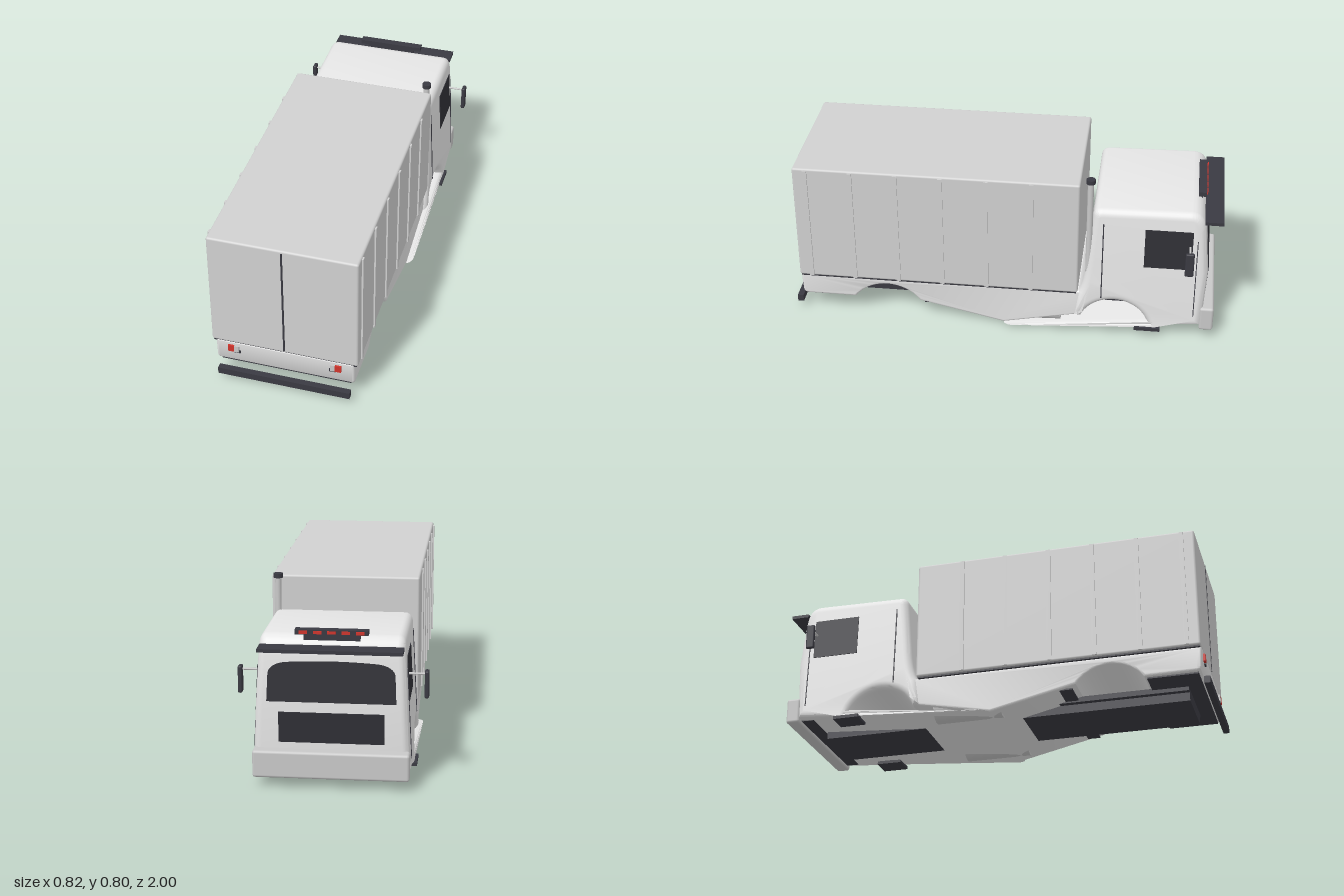
import * as THREE from 'three';
import { toCreasedNormals } from 'three/addons/utils/BufferGeometryUtils.js';
import { RoundedBoxGeometry } from 'three/addons/geometries/RoundedBoxGeometry.js';

const material = (name, color) => Object.assign(new THREE.MeshStandardMaterial({ color }), { name });

export function createModel() {
  const truck = new THREE.Group();
  truck.name = 'boxTruck';
  const paint = material('cabWhite', 0xe6e6e6);
  const boxPaint = material('cargoGrey', 0xd0d0d0);
  const metal = material('metalGrey', 0xc8c8c8);
  const dark = material('darkTrim', 0x3a3a42);
  const glass = material('darkGlass', 0x303036);
  const red = material('redLamp', 0xd0342c);

  const add = (name, geometry, mat, x = 0, y = 0, z = 0) => {
    const mesh = new THREE.Mesh(geometry, mat);
    mesh.name = name;
    mesh.position.set(x, y, z);
    truck.add(mesh);
    return mesh;
  };
  // Box given by its limits on each axis
  const block = (name, mat, [x0, x1], [y0, y1], [z0, z1], radius = 0) => {
    const size = [Math.abs(x1 - x0), y1 - y0, z1 - z0];
    const geometry = radius ? new RoundedBoxGeometry(...size, 3, radius) : new THREE.BoxGeometry(...size);
    return add(name, geometry, mat, (x0 + x1) / 2, (y0 + y1) / 2, (z0 + z1) / 2);
  };
  // Side profile (u = -z, y) swept across the width with rounded edges
  const sweep = (shape, halfWidth, bevel) => {
    const geometry = new THREE.ExtrudeGeometry(shape, {
      depth: 2 * (halfWidth - bevel), bevelEnabled: true, bevelThickness: bevel,
      bevelSize: bevel, bevelOffset: -bevel, bevelSegments: 5, curveSegments: 20,
    });
    geometry.translate(0, 0, -(halfWidth - bevel));
    geometry.rotateY(Math.PI / 2);
    return geometry;
  };
  // Wheel arch through three points, as a shallow circular cut
  const arch = (shape, centre, half, base, top) => {
    const rise = top - base;
    const r = (half * half + rise * rise) / (2 * rise);
    const a = Math.asin(Math.min(1, half / r));
    for (let i = 0; i <= 20; i++) {
      const t = a - (2 * a * i) / 20;
      shape.lineTo(centre + r * Math.sin(t), top - r + r * Math.cos(t));
    }
  };

  // Cab with front wheel arches, narrowing towards the roof
  const cabShape = new THREE.Shape();
  cabShape.moveTo(0.93, 0.065);
  cabShape.lineTo(0.945, 0.35);
  cabShape.lineTo(0.925, 0.57);
  cabShape.quadraticCurveTo(0.915, 0.655, 0.85, 0.655);
  cabShape.lineTo(0.45, 0.648);
  cabShape.quadraticCurveTo(0.412, 0.645, 0.41, 0.61);
  cabShape.lineTo(0.385, 0.36);
  cabShape.quadraticCurveTo(0.375, 0.24, 0.35, 0.2);
  cabShape.lineTo(0.335, 0.075);
  const cabArch = new THREE.Shape();
  arch(cabArch, 0.52, 0.155, 0.07, 0.17);
  cabArch.getPoints().reverse().forEach((p) => cabShape.lineTo(p.x, p.y));
  cabShape.closePath();
  const cab = sweep(cabShape, 0.34, 0.035);
  const pos = cab.attributes.position;
  for (let i = 0; i < pos.count; i++) {
    pos.setX(i, pos.getX(i) * (1 - 0.155 * (pos.getY(i) - 0.07)));
  }
  add('cab', toCreasedNormals(cab, 0.6), paint);

  // Lower body with rear wheel arches
  const sillShape = new THREE.Shape();
  sillShape.moveTo(0.37, 0.205);
  sillShape.lineTo(-0.97, 0.205);
  sillShape.lineTo(-0.965, 0.11);
  sillShape.quadraticCurveTo(-0.96, 0.09, -0.94, 0.09);
  const sillArch = new THREE.Shape();
  arch(sillArch, -0.555, 0.155, 0.09, 0.17);
  sillArch.getPoints().reverse().forEach((p) => sillShape.lineTo(p.x, p.y));
  sillShape.lineTo(0.36, 0.075);
  sillShape.closePath();
  add('lowerBody', toCreasedNormals(sweep(sillShape, 0.318, 0.012), 0.6), paint);

  // Dark underside and chassis
  block('rearUnderside', dark, [-0.3, 0.3], [0.083, 0.091], [0.72, 0.95]);
  block('middleUnderside', dark, [-0.3, 0.3], [0.072, 0.079], [-0.33, 0.38]);
  block('cabUnderside', dark, [-0.3, 0.3], [0.06, 0.067], [-0.92, -0.69]);
  block('chassis', dark, [-0.145, 0.145], [0.025, 0.1], [-0.85, 0.885]);
  block('chassisFlange', dark, [-0.17, 0.17], [0.065, 0.09], [-0.85, 0.885]);
  block('rearBar', dark, [-0.305, 0.305], [0.032, 0.065], [0.972, 1]);

  // Cargo box, door seam and side ribs
  block('cargoBox', boxPaint, [-0.335, 0.335], [0.207, 0.785], [-0.35, 0.97], 0.01);
  block('cargoBase', dark, [-0.328, 0.328], [0.2, 0.21], [-0.342, 0.964]);
  block('doorSeam', dark, [-0.004, 0.004], [0.22, 0.772], [0.967, 0.973]);
  for (const side of [-1, 1]) {
    for (let i = 0; i < 6; i++) {
      const z = -0.13 + i * 0.208;
      block('cargoRib', boxPaint, [side * 0.33, side * 0.342], [0.212, 0.777], [z - 0.01, z + 0.01]);
    }
  }

  // Windscreen with rounded upper corners
  const screen = new THREE.Shape();
  screen.moveTo(-0.275, -0.09);
  screen.lineTo(0.275, -0.09);
  screen.lineTo(0.27, 0.03);
  screen.quadraticCurveTo(0.265, 0.07, 0.2, 0.08);
  screen.quadraticCurveTo(0, 0.095, -0.2, 0.08);
  screen.quadraticCurveTo(-0.265, 0.07, -0.27, 0.03);
  screen.closePath();
  const screenGeometry = new THREE.ExtrudeGeometry(screen, { depth: 0.008, bevelEnabled: false });
  add('windscreen', screenGeometry, glass, 0, 0.465, -0.9385).rotation.x = 0.09;
  block('grille', glass, [-0.225, 0.225], [0.195, 0.33], [-0.946, -0.937]).rotation.x = -0.053;

  // Front bumper, sun visor and roof light bar
  block('bumper', metal, [-0.335, 0.335], [0.045, 0.165], [-0.985, -0.92], 0.012);
  block('sunVisor', dark, [-0.305, 0.305], [0.603, 0.618], [-1, -0.915]);
  block('lightBar', dark, [-0.155, 0.155], [0.663, 0.684], [-0.917, -0.88]);
  block('lightBarMount', dark, [-0.12, 0.12], [0.63, 0.665], [-0.9, -0.885]);
  for (let i = -2; i <= 2; i++) {
    block('markerLamp', red, [i * 0.06 - 0.018, i * 0.06 + 0.018], [0.667, 0.68], [-0.922, -0.914]);
  }

  // Exhaust stack
  add('exhaustStack', new THREE.CylinderGeometry(0.014, 0.014, 0.58, 20), metal, 0.3, 0.495, -0.395);
  add('exhaustCap', new THREE.CylinderGeometry(0.021, 0.021, 0.02, 20), dark, 0.3, 0.793, -0.395);

  // Parts found on both sides
  for (const s of [-1, 1]) {
    const cabSide = (y) => 0.34 * (1 - 0.155 * (y - 0.07));
    const plate = (name, mat, y0, y1, z0, z1) => {
      const x = cabSide((y0 + y1) / 2);
      block(name, mat, [s * (x - 0.004), s * (x + 0.003)], [y0, y1], [z0, z1]).rotation.z = s * 0.0527;
    };
    plate('sideWindow', glass, 0.37, 0.565, -0.868, -0.65);
    plate('rearDoorLine', dark, 0.19, 0.58, -0.462, -0.457);
    plate('frontDoorLine', dark, 0.12, 0.52, -0.892, -0.888);

    block('mirror', dark, [s * 0.389, s * 0.408], [0.385, 0.505], [-0.877, -0.837], 0.007);
    const arm = add('mirrorArm', new THREE.CylinderGeometry(0.005, 0.005, 0.085, 10), metal, s * 0.35, 0.489, -0.857);
    arm.rotation.z = Math.PI / 2;

    block('cabStep', dark, [s * 0.25, s * 0.353], [0.031, 0.046], [-0.74, -0.62]);
    const tank = add('fuelTank', new THREE.CylinderGeometry(0.062, 0.062, 0.315, 28), metal, s * 0.245, 0.062, -0.113);
    tank.rotation.x = Math.PI / 2;

    block('tailLamp', red, [s * 0.232, s * 0.26], [0.16, 0.193], [0.965, 0.978]);
    block('reverseLamp', metal, [s * 0.21, s * 0.232], [0.16, 0.193], [0.965, 0.978]);
    block('lampBracket', dark, [s * 0.204, s * 0.234], [0.152, 0.166], [0.96, 0.973]);
  }
  return truck;
}
